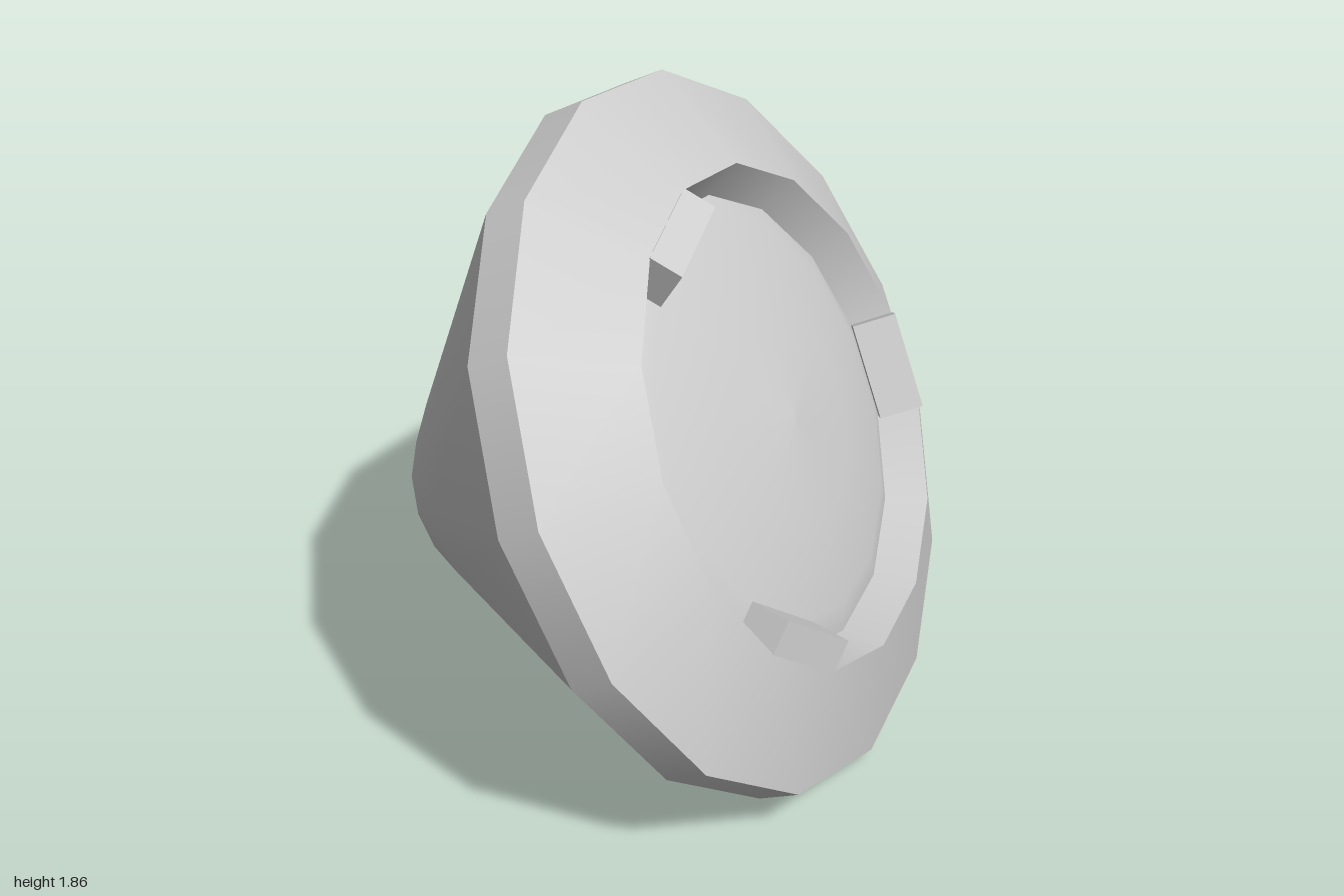
import * as THREE from 'three';

const SIDES = 15;
const mat = new THREE.MeshStandardMaterial({ color: 0xcccccc });

// One smooth band of the turned body; separate bands keep the edges between them sharp
function band(name, points) {
  const profile = points.map(([r, y]) => new THREE.Vector2(r, y));
  const mesh = new THREE.Mesh(new THREE.LatheGeometry(profile, SIDES), mat);
  mesh.name = name;
  return mesh;
}

export function createModel() {
  const model = new THREE.Group();
  const lamp = new THREE.Group();
  lamp.name = 'reflectorLamp';
  model.add(lamp);

  // Turned body, listed from the back of the axis round to the front (radius, height)
  const bands = {
    socketFloor: [[0, -1.0], [0.18, -0.97]],
    socketWall: [[0.18, -0.97], [0.188, -1.03]],
    backCollar: [[0.188, -1.03], [0.27, -1.03]],
    coneShell: [[0.27, -1.03], [0.41, -0.865], [1.01, -0.125]],
    outerRim: [[1.01, -0.125], [1.01, 0]],
    frontBezel: [[1.01, 0], [0.70, 0.16]],
    bezelInnerWall: [[0.70, 0.16], [0.64, 0.05]],
    lens: [[0.64, 0.05], [0.56, 0.085], [0.3, 0.13], [0, 0.15]],
  };
  for (const [name, points] of Object.entries(bands)) lamp.add(band(name, points));

  // Three tabs, each as wide as one side of the bezel, reaching in over the lens
  for (const side of [3.5, 8.5, 13.5]) {
    const arm = new THREE.Group();
    arm.name = 'lensTab';
    arm.rotation.y = (side / SIDES) * Math.PI * 2;
    const tab = new THREE.Mesh(new THREE.BoxGeometry(0.286, 0.13, 0.095), mat);
    tab.name = 'tabBlock';
    tab.position.set(0, 0.131, 0.616);
    tab.rotation.x = THREE.MathUtils.degToRad(31);
    arm.add(tab);
    lamp.add(arm);
  }

  // Lay the lamp down so it faces forward, up and slightly to its left
  const axis = new THREE.Vector3(0.19, 0.44, 0.878).normalize();
  const down = new THREE.Vector3(0.0075, -0.892, 0.452);
  const across = new THREE.Vector3().crossVectors(axis, down).normalize();
  down.crossVectors(across, axis);
  lamp.quaternion.setFromRotationMatrix(new THREE.Matrix4().makeBasis(across, axis, down));
  lamp.position.set(0.012, 0.962, 0.262);

  return model;
}
